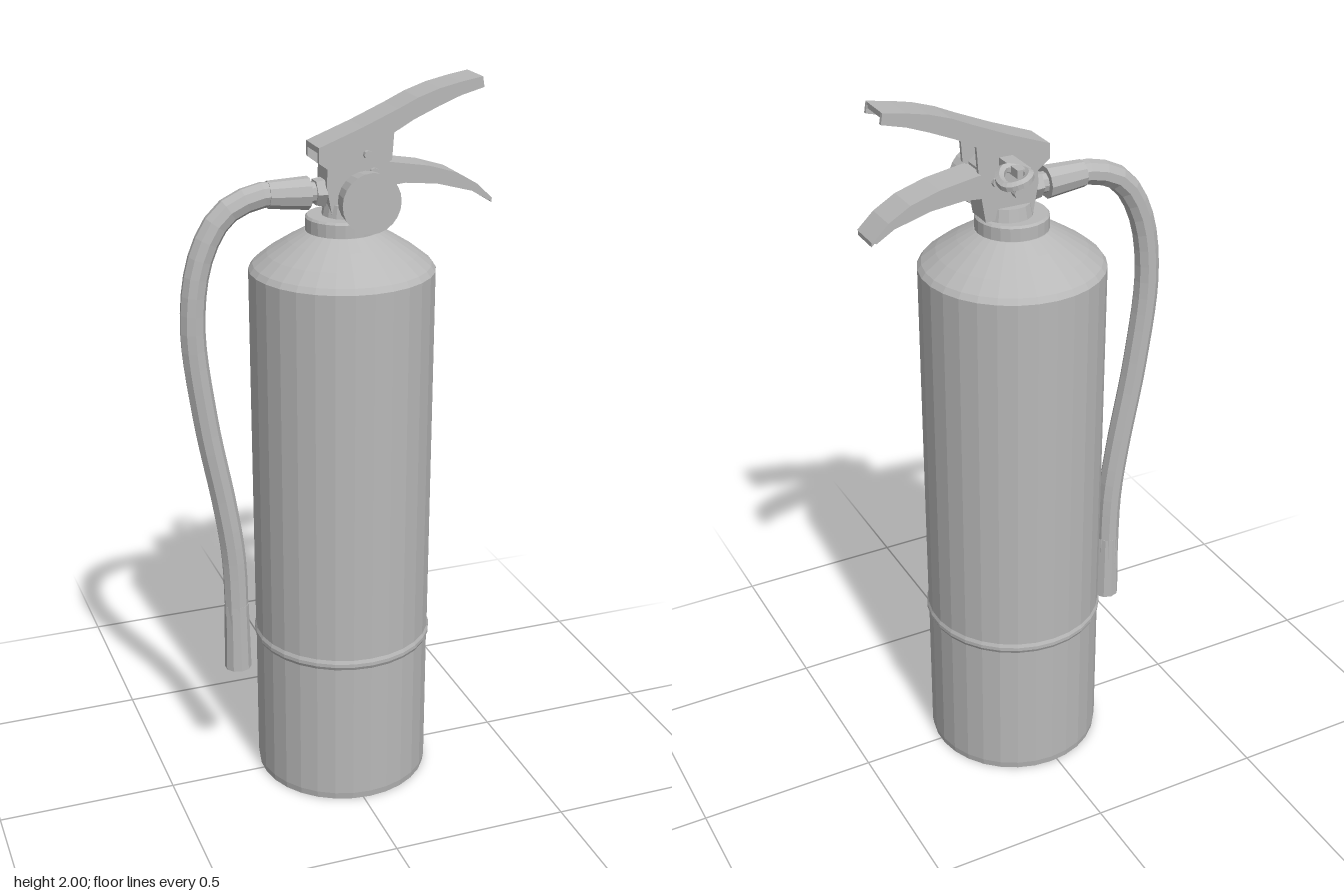
import * as THREE from 'three';

const grey = new THREE.MeshStandardMaterial({ color: 0xb8b8b8, flatShading: true });
grey.name = 'grey';

const v2 = (pts) => pts.map(([x, y]) => new THREE.Vector2(x, y));

export function createModel() {
  const root = new THREE.Group();
  root.name = 'fireExtinguisher';

  function add(name, geo, x = 0, y = 0, z = 0, parent = root) {
    const m = new THREE.Mesh(geo, grey);
    m.name = name;
    m.position.set(x, y, z);
    parent.add(m);
    return m;
  }
  // cylinder running along an axis, r1 at its positive end
  function rod(name, axis, r1, r2, len, x, y, z, sides = 12) {
    const g = new THREE.CylinderGeometry(r1, r2, len, sides);
    if (axis === 'x') g.rotateZ(-Math.PI / 2);
    if (axis === 'z') g.rotateX(Math.PI / 2);
    return add(name, g, x, y, z);
  }
  // front outline given a thickness from z0 to z1
  function plate(name, pts, z0, z1, parent) {
    const g = new THREE.ExtrudeGeometry(new THREE.Shape(v2(pts)), { depth: z1 - z0, bevelEnabled: false });
    return add(name, g, 0, 0, z0, parent);
  }
  // U-channel lever: two cheeks joined by a web along the top edge
  function lever(name, top, bottom, t, zb, zf) {
    const g = new THREE.Group();
    g.name = name;
    root.add(g);
    const outline = [...top, ...bottom];
    plate(name + 'FrontCheek', outline, zf - 0.01, zf, g);
    plate(name + 'BackCheek', outline, zb, zb + 0.01, g);
    const under = top.map(([x, y]) => [x, y - t]).reverse();
    plate(name + 'Web', [...top, ...under], zb + 0.005, zf - 0.005, g);
  }

  // Tank with shoulder and a faint weld ridge
  add('tank', new THREE.LatheGeometry(v2([
    [0, 0], [0.243, 0], [0.246, 0.02], [0.246, 0.425], [0.251, 0.435], [0.251, 0.445], [0.247, 0.455],
    [0.249, 1.51], [0.238, 1.525], [0.2, 1.555], [0.145, 1.59], [0.1, 1.615], [0, 1.615],
  ]), 30), 0.02, 0, 0);

  // Neck collar and valve
  add('collar', new THREE.LatheGeometry(v2([
    [0, 1.59], [0.098, 1.59], [0.098, 1.65], [0.093, 1.656], [0, 1.656],
  ]), 24), 0.02, 0, 0);
  rod('valveNeck', 'y', 0.062, 0.07, 0.04, 0.035, 1.67, 0, 16);
  plate('valveBody', [
    [-0.02, 1.66], [0.115, 1.66], [0.125, 1.72], [0.125, 1.8], [0.08, 1.84], [-0.03, 1.83], [-0.035, 1.74],
  ], -0.04, 0.035);

  // Levers
  lever('upperLever',
    [[-0.06, 1.845], [0.06, 1.89], [0.155, 1.93], [0.21, 1.955], [0.27, 1.975], [0.33, 1.988], [0.39, 1.998]],
    [[0.395, 1.97], [0.33, 1.953], [0.27, 1.93], [0.2, 1.9], [0.145, 1.87], [0.14, 1.8], [0.09, 1.765],
      [-0.02, 1.775], [-0.06, 1.805]], 0.015, -0.053, 0.047);
  lever('lowerLever',
    [[0.06, 1.795], [0.14, 1.793], [0.245, 1.775], [0.325, 1.75], [0.385, 1.715], [0.43, 1.672]],
    [[0.418, 1.668], [0.37, 1.697], [0.27, 1.725], [0.18, 1.735], [0.12, 1.73], [0.06, 1.73]], 0.012, -0.05, 0.044);

  // Pressure gauge on the front
  rod('gaugeStem', 'z', 0.022, 0.026, 0.08, 0.04, 1.715, 0.065);
  rod('gaugeNut', 'z', 0.04, 0.045, 0.02, 0.04, 1.715, 0.055, 6);
  rod('gauge', 'z', 0.08, 0.074, 0.052, 0.047, 1.716, 0.123, 24);

  // Safety pin, strap and pull ring at the back
  rod('pin', 'z', 0.011, 0.011, 0.16, 0.07, 1.82, -0.02, 8);
  add('pinStrap', new THREE.BoxGeometry(0.038, 0.022, 0.1), 0.064, 1.822, -0.102);
  const ring = new THREE.CatmullRomCurve3([
    [0.06, 1.82, -0.12], [0.06, 1.825, -0.17], [0.09, 1.82, -0.2], [0.126, 1.81, -0.185],
    [0.126, 1.815, -0.14], [0.095, 1.825, -0.105],
  ].map((p) => new THREE.Vector3(...p)), true);
  add('pullRing', new THREE.TubeGeometry(ring, 24, 0.013, 6, true));
  for (const [x, y] of [[0.03, 1.73], [0.09, 1.77]]) rod('rivet', 'z', 0.014, 0.014, 0.118, x, y, -0.003, 8);

  // Hose outlet, ferrule, hose and nozzle
  rod('outlet', 'x', 0.028, 0.028, 0.12, -0.05, 1.72, 0, 10);
  rod('outletNut', 'x', 0.04, 0.036, 0.025, -0.045, 1.72, 0, 6);
  rod('ferrule', 'x', 0.044, 0.036, 0.11, -0.13, 1.722, 0, 10).rotation.z = -0.04;
  const hose = new THREE.CatmullRomCurve3([
    [-0.1, 1.72], [-0.2, 1.725], [-0.3, 1.685], [-0.365, 1.58], [-0.394, 1.4],
    [-0.368, 1.13], [-0.32, 0.86], [-0.299, 0.7], [-0.294, 0.45],
  ].map(([x, y]) => new THREE.Vector3(x, y, 0)));
  add('hose', new THREE.TubeGeometry(hose, 30, 0.034, 9));
  rod('nozzle', 'y', 0.034, 0.038, 0.2, -0.294, 0.46, 0, 10);

  return root;
}
